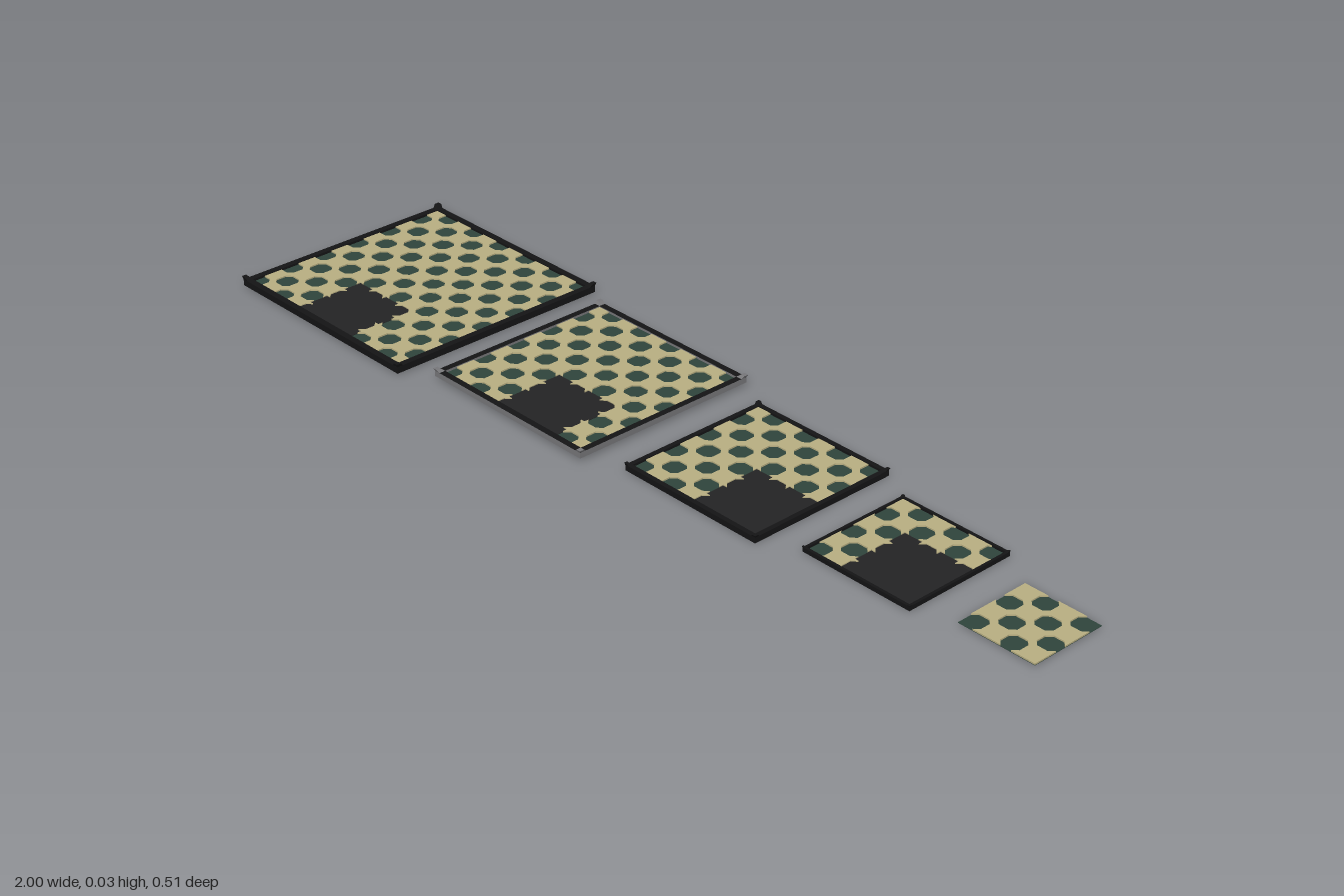
import * as THREE from 'three';
import { mergeGeometries } from 'three/addons/utils/BufferGeometryUtils.js';

const mat = (name, color) => Object.assign(new THREE.MeshStandardMaterial({ color }), { name });
const CELL = 0.0425;

// n: cells per side, x/z: centre, y0/y1: frame bottom and top, rim: frame width, patch: first cell of the dark area
const BOARDS = [
  { n: 12, x: -0.744, z: 0, y0: 0.003, y1: 0.017, rim: 0.014, horn: 0.007, patch: [4, 8] },
  { n: 10, x: -0.213, z: 0, y0: 0.008, y1: 0.02, rim: 0.014, horn: 0.005, patch: [4, 6], greySides: true },
  { n: 8, x: 0.246, z: 0, y0: 0, y1: 0.012, rim: 0.01, horn: 0.004, patch: [4, 4] },
  { n: 6, x: 0.62, z: 0.002, y0: 0.002, y1: 0.011, rim: 0.006, horn: 0.002, patch: [2, 2] },
  { n: 4, x: 0.912, z: 0.011, y0: 0.003, y1: 0.009, rim: 0 },
];

// Raised tile: a square whose corners reach into the neighbouring cells, clipped at the board edge
function tileGeometry(cx, cz, limit, depth) {
  const h = CELL / 2, t = CELL * 0.24;
  const clip = (v) => Math.max(-limit, Math.min(limit, v));
  const corner = [[h - t, -h], [h, -h - t], [h, -h], [h + t, -h], [h, -h + t]];
  const points = [];
  for (let k = 0; k < 4; k++) {
    for (const [px, py] of corner) {
      const [x, y] = [[px, py], [-py, px], [-px, -py], [py, -px]][k];
      const p = new THREE.Vector2(clip(cx + x), clip(-cz + y));
      if (!points.length || points[points.length - 1].distanceTo(p) > 1e-5) points.push(p);
    }
  }
  const geo = new THREE.ExtrudeGeometry(new THREE.Shape(points), { depth, bevelEnabled: false });
  return geo.rotateX(-Math.PI / 2);
}

export function createModel() {
  const model = new THREE.Group();
  const black = mat('black', 0x141415);
  const charcoal = mat('charcoal', 0x232324);
  const grey = mat('grey', 0x77777a);
  const tan = mat('tan', 0xb9af82);
  const green = mat('dark green', 0x2f453c);

  const add = (group, name, geo, material, x = 0, y = 0, z = 0) => {
    const mesh = new THREE.Mesh(geo, material);
    mesh.name = name;
    mesh.position.set(x, y, z);
    group.add(mesh);
    return mesh;
  };
  const slab = (w, y0, y1) => new THREE.BoxGeometry(w, y1 - y0, w).translate(0, (y0 + y1) / 2, 0);

  for (const b of BOARDS) {
    const group = new THREE.Group();
    group.name = `board${b.n}`;
    group.position.set(b.x, 0, b.z);
    model.add(group);
    const size = b.n * CELL, half = size / 2;
    const floor = b.y1 - 0.005;
    const inner = size - b.rim;

    // Base tray and green ground
    add(group, 'base', slab(b.greySides ? size - 0.03 : inner, b.greySides ? 0.004 : b.y0, floor - 0.001), black);
    add(group, 'ground', slab(inner, floor - 0.001, floor), green);

    // Checkered raised tiles, leaving the dark area free
    const tiles = [];
    for (let i = 0; i < b.n; i++) {
      for (let j = 0; j < b.n; j++) {
        const covered = b.patch && i >= b.patch[0] && i < b.patch[0] + 4 && j >= b.patch[1] && j < b.patch[1] + 4;
        if ((i + j) % 2 || covered) continue;
        tiles.push(tileGeometry((i + 0.5) * CELL - half, (j + 0.5) * CELL - half, half - b.rim / 2, 0.003));
      }
    }
    add(group, 'tiles', mergeGeometries(tiles), tan, 0, floor, 0);

    // Dark area
    if (b.patch) {
      const lim = half - b.rim / 2;
      const x0 = b.patch[0] * CELL - half, z0 = b.patch[1] * CELL - half;
      const x1 = Math.min(x0 + 4 * CELL, lim), z1 = Math.min(z0 + 4 * CELL, lim);
      add(group, 'darkArea', new THREE.BoxGeometry(x1 - x0, 0.001, z1 - z0), charcoal,
        (x0 + x1) / 2, floor + 0.0005, (z0 + z1) / 2);
    }

    // Frame rails and flared corner posts
    if (b.rim) {
      const rail = b.greySides ? [grey, grey, black, black, grey, grey] : black;
      const h = b.y1 - b.y0, y = (b.y0 + b.y1) / 2, r = half - b.rim / 2;
      for (const s of [-1, 1]) {
        add(group, 'frameRail', new THREE.BoxGeometry(size, h, b.rim), rail, 0, y, s * r);
        add(group, 'frameRail', new THREE.BoxGeometry(b.rim, h, size - 2 * b.rim), rail, s * r, y, 0);
        for (const q of [-1, 1]) {
          const post = new THREE.CylinderGeometry(b.rim * 0.5, b.rim * 0.7, b.horn, 4).rotateY(Math.PI / 4);
          const pos = post.attributes.position;
          for (let k = 0; k < pos.count; k++) {
            if (pos.getY(k) > 0) pos.setXYZ(k, pos.getX(k) + s * b.rim * 0.3, pos.getY(k), pos.getZ(k) + q * b.rim * 0.3);
          }
          const flat = post.toNonIndexed();
          flat.computeVertexNormals();
          add(group, 'cornerPost', flat, b.greySides ? grey : black, s * r, b.y1 + b.horn / 2, q * r);
        }
      }
    }
  }
  return model;
}
